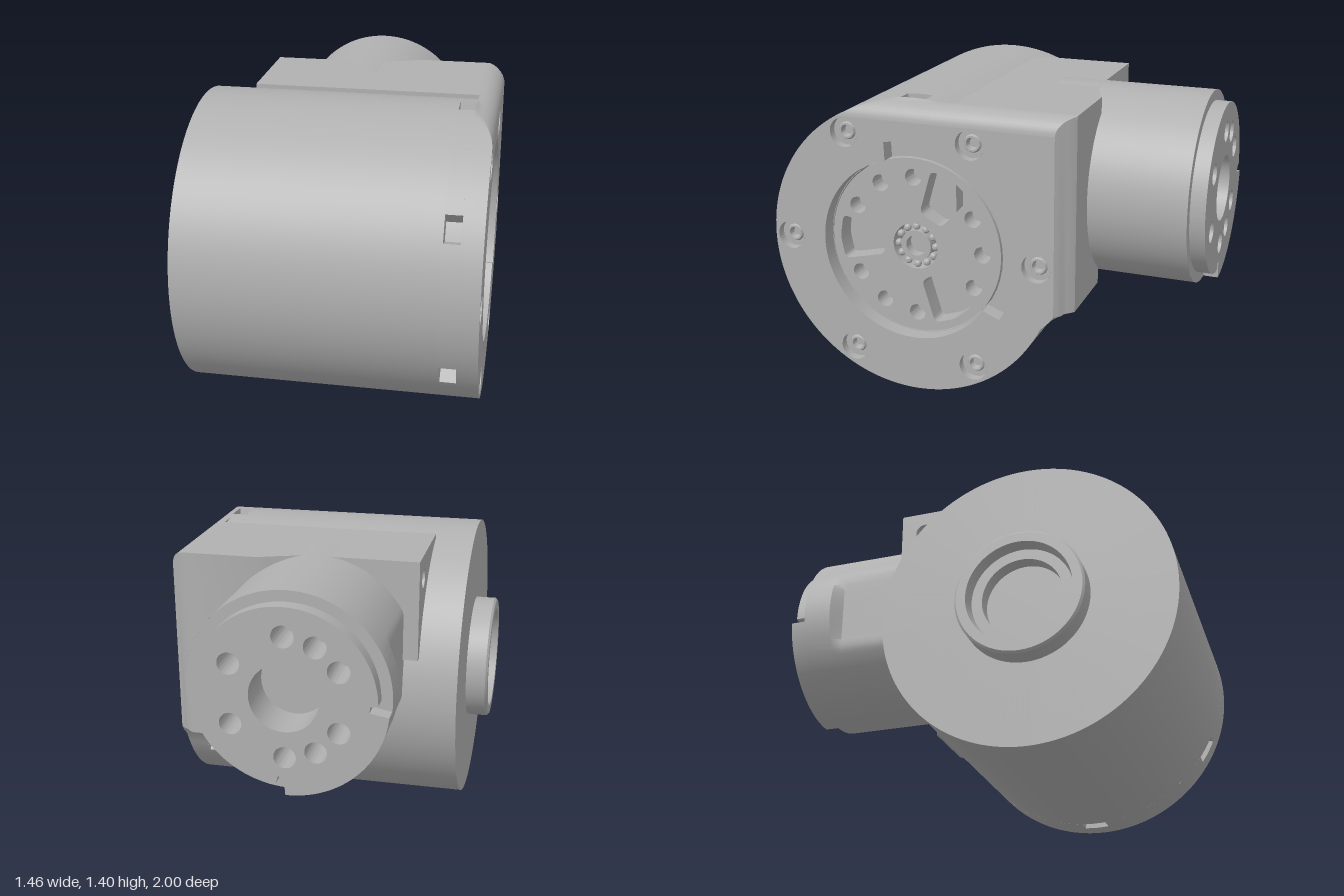
import * as THREE from 'three';
import { toCreasedNormals } from 'three/addons/utils/BufferGeometryUtils.js';

const metal = new THREE.MeshStandardMaterial({ color: 0xb0b0b0, side: THREE.DoubleSide });
metal.name = 'grey metal';
const DEG = Math.PI / 180;

function add(group, name, geometry) {
  const mesh = new THREE.Mesh(toCreasedNormals(geometry, 0.5), metal);
  mesh.name = name;
  group.add(mesh);
  return mesh;
}
const vec = (u, v) => new THREE.Vector2(u, v);
const polar = (r, deg) => vec(r * Math.cos(deg * DEG), r * Math.sin(deg * DEG));

// Closed outline whose radius depends on the angle in degrees
function outline(radius, n = 180) {
  return Array.from({ length: n }, (_, i) => polar(radius(i * 360 / n), i * 360 / n));
}
function circleHole(r, c = vec(0, 0)) {
  return new THREE.Path().absarc(c.x, c.y, r, 0, Math.PI * 2, true);
}
function shape(points, holes = []) {
  const s = new THREE.Shape(points);
  s.holes.push(...holes);
  return s;
}
function slab(s, from, to) {
  return new THREE.ExtrudeGeometry(s, { depth: to - from, bevelEnabled: false, curveSegments: 24 }).translate(0, 0, from);
}
function ring(inner, outer, w) {
  return new THREE.RingGeometry(inner, outer, 96).translate(0, 0, w);
}
// Lathe turned about the local w axis; profile is [radius, w]
function turned(profile, n = 96) {
  return new THREE.LatheGeometry(profile.map(p => vec(...p)), n).rotateX(Math.PI / 2);
}
// Skin through copies of an outline; rule(point, w) reshapes each section
function loft(points, ws, rule = p => p) {
  const pos = [], n = points.length;
  const rows = ws.map(w => points.map(p => { const q = rule(p, w); return [q.x, q.y, w]; }));
  for (let i = 0; i < ws.length - 1; i++) {
    for (let j = 0; j < n; j++) {
      const k = (j + 1) % n;
      const a = rows[i][j], b = rows[i][k], c = rows[i + 1][k], d = rows[i + 1][j];
      pos.push(...a, ...b, ...c, ...a, ...c, ...d);
    }
  }
  const g = new THREE.BufferGeometry();
  g.setAttribute('position', new THREE.Float32BufferAttribute(pos, 3));
  return g;
}

// Local frame: u points to the back, v up, w along the drum axis
function buildDrum() {
  const g = new THREE.Group();
  g.name = 'drumHousing';
  add(g, 'drumWithBoss', turned([
    [0, -0.6], [0.19, -0.6], [0.19, -0.67], [0.24, -0.67], [0.25, -0.73], [0.295, -0.73], [0.305, -0.72],
    [0.305, -0.625], [0.7, -0.625], [0.7, 0.555], [0, 0.555]], 128));

  // Band with six square pockets
  const pocket = a => Math.abs(((a + 360) % 60) - 30) < 4.2;
  add(g, 'pocketBand', slab(shape(outline(a => pocket(a) ? 0.61 : 0.7, 360), [circleHole(0.53)]), 0.555, 0.63));
  add(g, 'bandCover', ring(0.53, 0.7, 0.63));

  // Head outline: flat top, round front, filleted underside, flat back
  const under = [vec(0.61, -0.345), vec(0.64, -0.29), vec(0.68, -0.25), vec(0.73, -0.222), vec(0.775, -0.215)];
  const head = [vec(0.775, 0.69), vec(0.118, 0.69)];
  for (let a = 82; a <= 327; a += 2.5) head.push(polar(0.7, a));
  head.push(...under);
  const trim = (p, w) => {
    const t = Math.min(1, (w - 0.63) / 0.095);
    const top = 0.69 - 0.08 * (1 - Math.sqrt(1 - t * t));
    const soft = p.y > 0.69 && t === 0 ? p.y : Math.min(p.y, t > 0 ? top : 0.7);
    return vec(Math.min(p.x, 0.775 - Math.max(0, w - 0.65)), soft);
  };
  const ws = Array.from({ length: 10 }, (_, i) => 0.63 + 0.095 * Math.sin(i / 9 * Math.PI / 2));
  add(g, 'headRim', loft(head, ws, trim));

  // End face with stepped recess and screw holes
  const recess = outline(a => (a < 104 || a > 327 ? 0.52 : 0.435));
  const screws = [0, 60, 120, 180, 240, 300].map(a => polar(0.617, a));
  add(g, 'headFace', new THREE.ShapeGeometry(
    shape(head.map(p => trim(p, 0.725)), [new THREE.Path(recess), ...screws.map(c => circleHole(0.068, c))]), 24)
    .translate(0, 0, 0.725));
  add(g, 'recessWall', loft(recess, [0.64, 0.725]));
  add(g, 'recessFloor', slab(shape(outline(() => 0.53), [circleHole(0.433)]), 0.56, 0.65));
  for (const c of screws) {
    add(g, 'screwBore', turned([[0.068, 0], [0.068, -0.04], [0.042, -0.04], [0.036, -0.03], [0.028, -0.03],
      [0.022, -0.06], [0, -0.06]], 24)).position.set(c.x, c.y, 0.725);
  }

  // Rotor with bolt holes and three windows
  const holes = [0, 30, 90, 120, 150, 210, 240, 270, 330].map(a => circleHole(0.04, polar(0.335, a === 0 ? 0 : a)));
  for (const a of [60, 180, 300]) {
    const corners = [[0.16, -0.06], [0.37, -0.11], [0.39, 0], [0.37, 0.11], [0.16, 0.06]]
      .map(([x, y]) => vec(x, y).rotateAround(vec(0, 0), a * DEG));
    const path = new THREE.Path();
    corners.forEach((c, i) => {
      const prev = corners[(i + 4) % 5], next = corners[(i + 1) % 5];
      const p = c.clone().lerp(prev, 0.03 / c.distanceTo(prev));
      const q = c.clone().lerp(next, 0.03 / c.distanceTo(next));
      if (i) path.lineTo(p.x, p.y); else path.moveTo(p.x, p.y);
      path.quadraticCurveTo(c.x, c.y, q.x, q.y);
    });
    path.closePath();
    holes.push(path);
  }
  add(g, 'rotor', slab(shape(outline(() => 0.426), [...holes, circleHole(0.112)]), 0.565, 0.657));

  // Bearing hub
  add(g, 'bearingHub', turned([[0.075, 0.57], [0.075, 0.65], [0.05, 0.65], [0.05, 0.6], [0, 0.6]], 32));
  for (let a = 0; a < 360; a += 30) {
    const c = polar(0.093, a);
    add(g, 'bearingBall', new THREE.SphereGeometry(0.018, 12, 8)).position.set(c.x, c.y, 0.635);
  }

  // Block carrying the rear tube, with a blended pad towards the head
  add(g, 'topBlock', slab(shape([vec(0.2, 0.22), vec(0.7, 0.22), vec(0.7, 0.69), vec(0.2, 0.69)],
    [circleHole(0.045, vec(0.58, 0.58))]), -0.44, 0.3));
  const pad = [vec(0.775, 0.69), vec(0.2, 0.69), vec(0.2, 0), vec(0.56, -0.37), ...under];
  const padWs = [0.07, 0.11, 0.15, 0.2, 0.25, 0.29, 0.63];
  add(g, 'rearPad', loft(pad, padWs, (p, w) => {
    const t = Math.min(1, (w - 0.07) / 0.22);
    return vec(Math.min(p.x, 0.703 + 0.072 * Math.pow(t, 1.4)), p.y);
  }));
  g.rotation.y = Math.PI / 2;
  g.position.set(0, 0.7, 0.3);
  return g;
}

// Local frame: u to the viewer's right from behind, v up, w backwards
function buildTube() {
  const g = new THREE.Group();
  g.name = 'rearTube';
  const round = outline(() => 0.455, 128);
  add(g, 'tubeShell', loft(round, [0.2, 0.74, 0.79, 0.93],
    (p, w) => vec(w < 0.75 ? Math.min(p.x, 0.405) : p.x, p.y)));
  add(g, 'tubeShoulder', ring(0.39, 0.455, 0.93));

  // End flange with a raised quarter lip, two notches and bolt holes
  const lip = a => {
    if (Math.abs(a - 267) < 2.6 || Math.abs(a - 357) < 2.6) return 0.37;
    return a > 267 && a < 357 ? 0.4545 : 0.405;
  };
  const holes = [30, 60, 90, 150, 210, 270, 300, 330].map(a => circleHole(0.05, polar(0.275, a)));
  add(g, 'endFlange', slab(shape(outline(lip, 360), [...holes, circleHole(0.155)]), 0.8, 1));
  add(g, 'flangeFloor', new THREE.CircleGeometry(0.4, 48).translate(0, 0, 0.78));
  g.rotation.y = Math.PI;
  g.position.set(0.035, 0.94, 0);
  return g;
}

export function createModel() {
  const model = new THREE.Group();
  model.name = 'rotaryActuator';
  model.add(buildDrum(), buildTube());
  return model;
}
